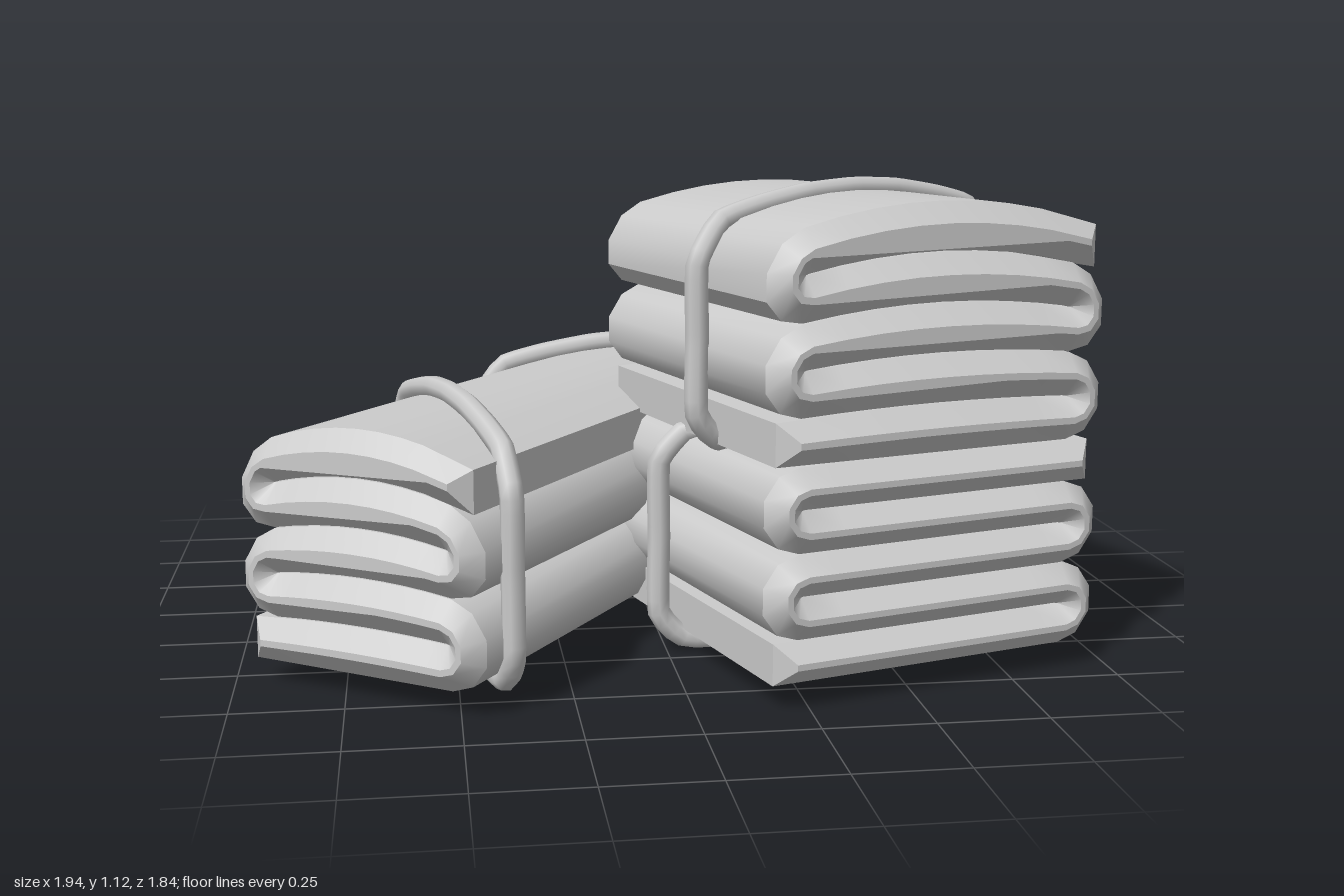
import * as THREE from 'three';
import { toCreasedNormals } from 'three/addons/utils/BufferGeometryUtils.js';

const material = new THREE.MeshStandardMaterial({ color: 0xcccccc });
const LAYERS = 5, PITCH = 0.096, BEVEL = 0.04, HALF = 0.007;

// Outline of one long cloth strip folded back and forth into flat layers
function foldedOutline(halfWidth) {
  const reach = halfWidth - PITCH, steps = 8, turns = 5;
  const sideA = [], sideB = [];
  const add = (x, y, nx, ny) => {
    sideA.push(new THREE.Vector2(x + nx * HALF, y + ny * HALF));
    sideB.push(new THREE.Vector2(x - nx * HALF, y - ny * HALF));
  };
  for (let i = 0; i < LAYERS; i++) {
    const dir = i % 2 ? -1 : 1, y = PITCH * (i + 0.5);
    for (let k = 0; k <= steps; k++) {
      let x = dir * reach * (2 * k / steps - 1);
      // the two free ends run out almost to the folds
      if (i === 0 && k === 0) x = -halfWidth + 0.07;
      if (i === LAYERS - 1 && k === steps) x = halfWidth - 0.07;
      add(x, y, 0, -dir);
    }
    if (i < LAYERS - 1) {
      for (let k = 1; k < turns; k++) {
        const a = -Math.PI / 2 + Math.PI * k / turns;
        const nx = dir * Math.cos(a), ny = Math.sin(a);
        add(dir * reach + nx * PITCH / 2, y + PITCH / 2 + ny * PITCH / 2, nx * dir * dir, ny);
        if (dir < 0) { // keep the same side of the strip on a left-hand fold
          const n = sideA.length - 1;
          [sideA[n], sideB[n]] = [sideB[n], sideA[n]];
        }
      }
    }
  }
  return new THREE.Shape([...sideA, ...sideB.reverse()]);
}

// Folded blanket with chamfered ends, arched more towards its top
function blanket(name, { x, z, turn, halfWidth, length, y, arch }) {
  const geo = new THREE.ExtrudeGeometry(foldedOutline(halfWidth), {
    depth: length - 2 * BEVEL, bevelEnabled: true,
    bevelSize: BEVEL, bevelThickness: BEVEL, bevelSegments: 1,
  });
  geo.translate(0, 0, -length / 2 + BEVEL);
  const p = geo.attributes.position, height = LAYERS * PITCH;
  for (let i = 0; i < p.count; i++) {
    const s = p.getX(i) / halfWidth, h = p.getY(i);
    p.setY(i, h + arch * (h / height) * (1 - s * s));
  }
  const mesh = new THREE.Mesh(toCreasedNormals(geo, 0.7), material);
  mesh.name = name;
  mesh.position.set(x, y, z);
  mesh.rotation.y = turn;
  return mesh;
}

// Cord looped round a blanket in the upright plane through two ground points
function cord(name, [ax, az], [bx, bz], low, high, arch) {
  const at = (s, y) => new THREE.Vector3(
    (ax + bx) / 2 + s * (bx - ax) / 2, y, (az + bz) / 2 + s * (bz - az) / 2);
  const points = [at(-1, low + 0.07), at(-1, (low + high) / 2), at(-1, high - 0.07)];
  for (const s of [-0.86, -0.6, -0.3, 0, 0.3, 0.6, 0.86]) points.push(at(s, high + arch * (1 - s * s)));
  points.push(at(1, high - 0.07), at(1, (low + high) / 2), at(1, low + 0.07));
  for (const s of [0.84, 0, -0.84]) points.push(at(s, low));
  const path = new THREE.CatmullRomCurve3(points, true, 'catmullrom', 0.2);
  const mesh = new THREE.Mesh(new THREE.TubeGeometry(path, 90, 0.027, 8, true), material);
  mesh.name = name;
  return mesh;
}

export function createModel() {
  const group = new THREE.Group();
  group.name = 'tiedBlankets';
  const stack = { x: 0.435, z: 0.365, turn: 0.294, halfWidth: 0.435, length: 0.91 };

  group.add(
    // long blanket with two slanting cords
    blanket('longBlanket', { x: -0.23, z: -0.02, turn: -0.59, halfWidth: 0.32, length: 1.8, y: 0.055, arch: 0.075 }),
    cord('longBlanketBackCord', [-0.4, -0.38], [0.485, -0.475], 0.047, 0.545, 0.08),
    cord('longBlanketFrontCord', [-0.615, -0.05], [-0.385, 0.8], 0.047, 0.545, 0.08),
    // two short blankets stacked
    blanket('lowerBlanket', { ...stack, y: 0.055, arch: 0 }),
    cord('lowerBlanketCord', [-0.02, 0.447], [0.905, 0.322], 0.03, 0.535, 0),
    blanket('upperBlanket', { ...stack, y: 0.537, arch: 0.075 }),
    cord('upperBlanketCord', [0.04, 0.622], [0.845, 0.147], 0.54, 1.015, 0.08),
  );
  return group;
}
